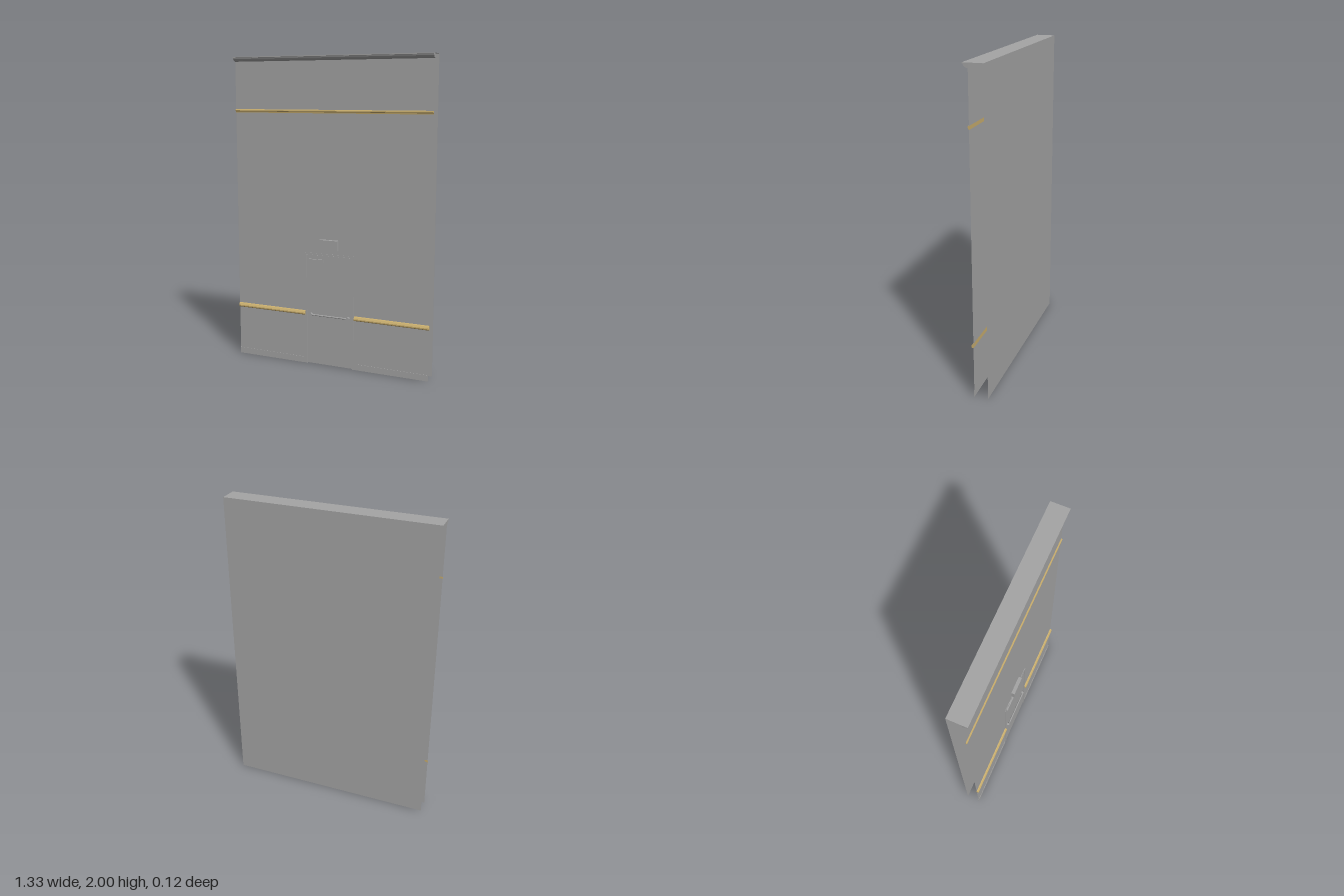
import * as THREE from 'three';

const W = 0.667, H = 2, FRONT = 0.027, BACK = -0.06;
const DOOR_W = 0.165, DOOR_H = 0.736;

export function createModel() {
  const model = new THREE.Group();
  model.name = 'wallWithDoor';
  const grey = new THREE.MeshStandardMaterial({ color: 0xa4a4a4, side: THREE.DoubleSide });
  grey.name = 'plain grey';
  const wood = new THREE.MeshStandardMaterial({ color: 0xc9ae6e, side: THREE.DoubleSide });
  wood.name = 'golden wood';

  const add = (name, geometry, material = grey) => {
    const mesh = new THREE.Mesh(geometry, material);
    mesh.name = name;
    model.add(mesh);
    return mesh;
  };
  // Box given by its limits on each axis
  const box = (name, x0, x1, y0, y1, z0, z1, material) =>
    add(name, new THREE.BoxGeometry(x1 - x0, y1 - y0, z1 - z0), material)
      .position.set((x0 + x1) / 2, (y0 + y1) / 2, (z0 + z1) / 2);
  // Moulding: a [z, y] profile drawn out along x
  const moulding = (name, x0, x1, profile, material) => {
    const shape = new THREE.Shape(profile.map(([z, y]) => new THREE.Vector2(z, y)));
    const geometry = new THREE.ExtrudeGeometry(shape, { depth: x1 - x0, bevelEnabled: false });
    geometry.rotateY(-Math.PI / 2).translate(x1, 0, 0);
    return add(name, geometry, material);
  };

  // Front skin with the doorway cut out
  const skin = new THREE.Shape([
    [-W, 0], [-DOOR_W, 0], [-DOOR_W, DOOR_H], [DOOR_W, DOOR_H],
    [DOOR_W, 0], [W, 0], [W, H], [-W, H],
  ].map(([x, y]) => new THREE.Vector2(x, y)));
  add('frontWall', new THREE.ShapeGeometry(skin)).position.z = FRONT;

  // Back skin and top cap; the ends and underside stay open
  const back = add('backWall', new THREE.PlaneGeometry(2 * W, H));
  back.position.set(0, H / 2, BACK);
  back.rotation.y = Math.PI;
  const cap = add('topCap', new THREE.PlaneGeometry(2 * W, FRONT - BACK));
  cap.position.set(0, H, (FRONT + BACK) / 2);
  cap.rotation.x = -Math.PI / 2;

  // Doorway lining through the wall
  for (const s of [-1, 1]) {
    const jamb = add('doorwayJamb', new THREE.PlaneGeometry(FRONT - BACK, DOOR_H));
    jamb.position.set(s * DOOR_W, DOOR_H / 2, (FRONT + BACK) / 2);
    jamb.rotation.y = -s * Math.PI / 2;
  }
  const head = add('doorwayHead', new THREE.PlaneGeometry(2 * DOOR_W, FRONT - BACK));
  head.position.set(0, DOOR_H, (FRONT + BACK) / 2);
  head.rotation.x = Math.PI / 2;

  // Crown and picture rail
  moulding('crownMoulding', -W, W, [
    [FRONT, 1.97], [0.036, 1.972], [0.046, 1.978], [0.053, 1.986], [0.055, 1.992],
    [0.06, 1.994], [0.06, 2], [FRONT, 2],
  ]);
  moulding('pictureRail', -W, W, [
    [FRONT, 1.645], [0.03, 1.645], [0.031, 1.652], [0.035, 1.656], [0.035, 1.662],
    [0.032, 1.667], [FRONT, 1.667],
  ], wood);

  // Chair rail and skirting either side of the door
  for (const s of [-1, 1]) {
    const span = (a, b) => (s > 0 ? [a, b] : [-b, -a]);
    moulding('chairRail', ...span(0.172, W), [
      [FRONT, 0.332], [0.036, 0.332], [0.041, 0.338], [0.041, 0.345],
      [0.034, 0.356], [FRONT, 0.36],
    ], wood);
    const [b0, b1] = span(0.183, W);
    box('skirting', b0, b1, 0, 0.04, FRONT, 0.0295);
  }

  // Door leaf, frame and head strip
  box('door', -0.161, 0.161, 0.004, 0.732, 0.015, 0.026);
  for (const s of [-1, 1]) {
    box('frameSide', s * 0.165 - 0.004, s * 0.165 + 0.004, 0, DOOR_H, 0.022, 0.031);
  }
  box('frameTop', -0.169, 0.169, 0.732, 0.738, 0.022, 0.031);
  box('headStrip', -0.169, 0.169, 0.738, 0.75, FRONT, 0.029);

  // Door closer and sign box
  box('doorCloser', -0.145, -0.042, 0.693, 0.71, 0.026, 0.036);
  box('signBox', -0.064, 0.06, 0.778, 0.844, FRONT, 0.05);

  // Push bar with end brackets
  const bar = add('pushBar', new THREE.CylinderGeometry(0.005, 0.005, 0.26, 12));
  bar.rotation.z = Math.PI / 2;
  bar.position.set(0, 0.338, 0.035);
  for (const s of [-1, 1]) {
    const bracket = add('barBracket', new THREE.CylinderGeometry(0.011, 0.011, 0.016, 16));
    bracket.rotation.x = Math.PI / 2;
    bracket.position.set(s * 0.13, 0.338, 0.033);
  }
  return model;
}
